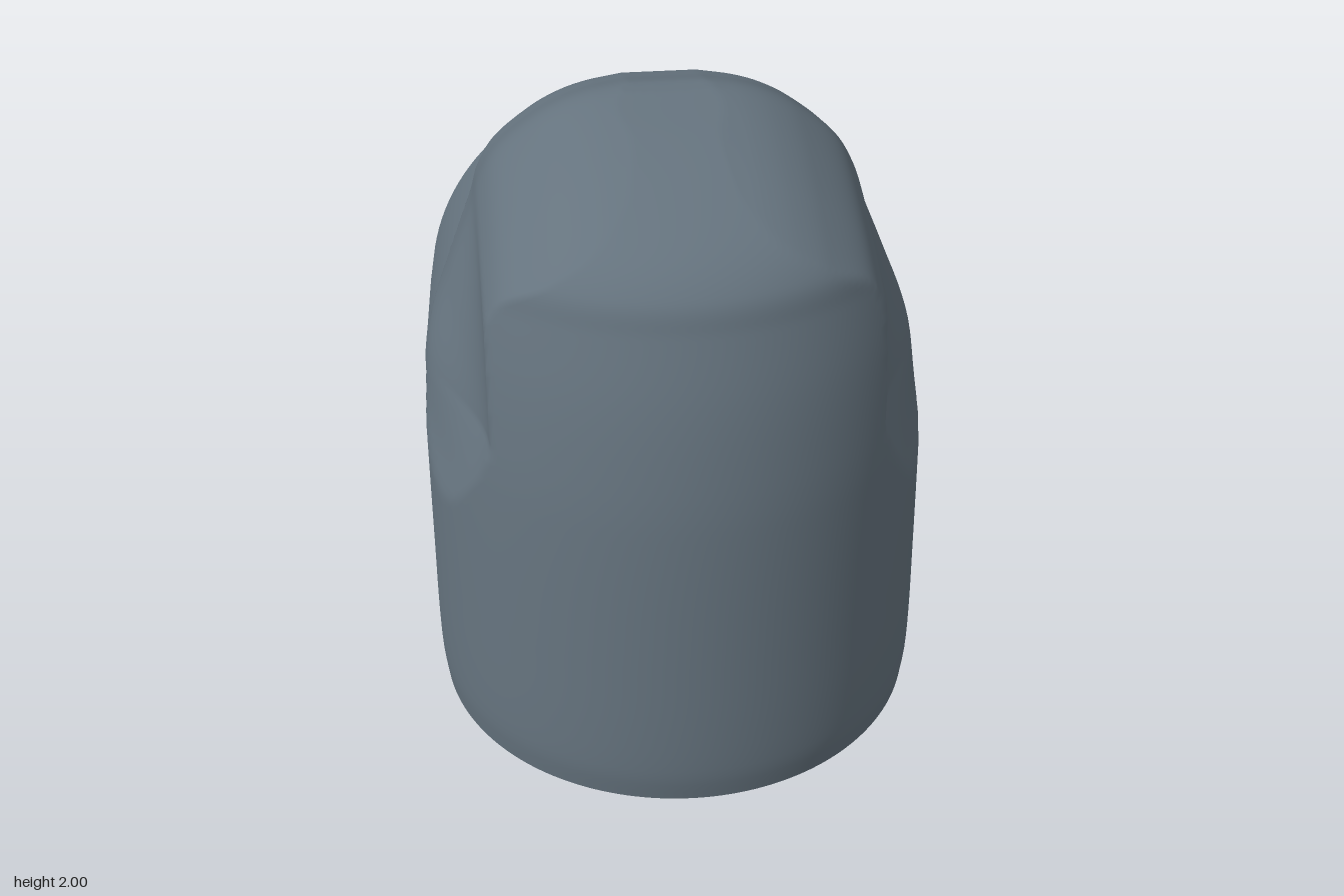
import * as THREE from 'three';

// Smooth curve through [x, value] pairs, clamped at both ends
function curve(pts) {
  const n = pts.length;
  const slope = (i) => {
    const a = pts[Math.max(0, i - 1)], b = pts[Math.min(n - 1, i + 1)];
    return (b[1] - a[1]) / (b[0] - a[0]);
  };
  return (x) => {
    if (x <= pts[0][0]) return pts[0][1];
    if (x >= pts[n - 1][0]) return pts[n - 1][1];
    let i = 0;
    while (x > pts[i + 1][0]) i++;
    const d = pts[i + 1][0] - pts[i][0], t = (x - pts[i][0]) / d;
    const t2 = t * t, t3 = t2 * t;
    return (2 * t3 - 3 * t2 + 1) * pts[i][1] + (t3 - 2 * t2 + t) * d * slope(i)
      + (3 * t2 - 2 * t3) * pts[i + 1][1] + (t3 - t2) * d * slope(i + 1);
  };
}

const CZ = 0.085; // axis of the upright body
const radius = curve([[0, 0.785], [0.1, 0.796], [0.25, 0.8], [0.5, 0.8]]);
// Front profile: z by height
const frontZ = curve([[0, 0.885], [0.1, 0.885], [0.6, 0.86], [1, 0.83], [1.2, 0.8], [1.4, 0.755],
  [1.6, 0.69], [1.7, 0.65], [1.8, 0.535], [1.9, 0.32], [1.96, 0.12], [2, -0.1]]);
// Hood half-width by height
const hoodWidth = curve([[0.6, 0.92], [0.8, 0.86], [1, 0.805], [1.2, 0.775], [1.4, 0.7], [1.6, 0.62],
  [1.7, 0.59], [1.8, 0.53], [1.9, 0.41], [1.95, 0.32], [1.98, 0.23], [2, 0.12]]);
// Ridge height by z
const ridge = curve([[-0.75, 1.74], [-0.58, 1.83], [-0.42, 1.92], [-0.3, 1.96], [-0.17, 2], [-0.08, 2],
  [0.12, 1.96], [0.32, 1.9], [0.54, 1.8], [0.65, 1.7]]);

function inside(x, y, z) {
  x = Math.abs(x);
  const r = radius(y);
  if (x >= r || y > 2) return false;
  const arc = Math.sqrt(r * r - x * x);
  if (z < CZ - arc) return false;                    // round back
  const shift = frontZ(y) - 0.885;
  if (z > CZ + shift + arc) return false;            // leaning round front
  const top = ridge(z);
  if (z < 0 && y > top) return false;                // sloping rear of the roof
  const w = hoodWidth(y + Math.min(2 - top, 0.25));
  const s = THREE.MathUtils.smoothstep(CZ + shift + 0.53 - z, 0, 0.6);
  const start = Math.min(w, 0.6 + 0.35 * Math.max(0, 1.15 - y));
  return x < start + (w - start) * s;                // scooped sides
}

// Body skin: rows of rays, level up the trunk, then fanned over the dome
function bodyGeometry() {
  const cols = 192, trunk = 36, dome = 90, Y0 = 1.1;
  const pos = [], idx = [];
  for (let j = 0; j <= trunk + dome; j++) {
    const oy = Y0 * Math.min(1, j / trunk);
    const e = Math.max(0, j - trunk) / dome * Math.PI / 2;
    for (let i = 0; i < cols; i++) {
      const a = i / cols * Math.PI * 2;
      const dx = Math.sin(a) * Math.cos(e), dy = Math.sin(e), dz = Math.cos(a) * Math.cos(e);
      let lo = 0, hi = 1.5;
      for (let k = 0; k < 24; k++) {
        const m = (lo + hi) / 2;
        if (inside(dx * m, oy + dy * m, CZ + dz * m)) lo = m; else hi = m;
      }
      pos.push(dx * lo, oy + dy * lo, CZ + dz * lo);
      if (j < trunk + dome) {
        const p = j * cols + i, q = j * cols + (i + 1) % cols;
        idx.push(p, q, q + cols, p, q + cols, p + cols);
      }
    }
  }
  const g = new THREE.BufferGeometry();
  g.setAttribute('position', new THREE.Float32BufferAttribute(pos, 3));
  g.setIndex(idx);
  g.computeVertexNormals();
  return g;
}

export function createModel() {
  const group = new THREE.Group();
  const slate = new THREE.MeshStandardMaterial({ color: 0x65737e });
  slate.name = 'slate grey';
  const add = (name, geometry, parent = group) => {
    const mesh = new THREE.Mesh(geometry, slate);
    mesh.name = name;
    parent.add(mesh);
    return mesh;
  };

  add('hoodedBody', bodyGeometry());
  const base = add('baseFace', new THREE.CircleGeometry(0.785, 96));
  base.rotation.x = Math.PI / 2;
  base.position.z = CZ;

  // Round branch leaving the back, with a rounded shoulder at its front
  const branch = new THREE.Group();
  branch.name = 'rearBranch';
  branch.position.y = 0.918;
  group.add(branch);
  const profile = [[0.7, 0.12], [0.735, 0.205], [0.76, 0.225], [0.788, 0.26], [0.798, 0.285], [0.8, 0.31],
    [0.795, 0.4], [0.782, 0.7], [0.77, 0.88]].map(([r, d]) => new THREE.Vector2(r, d));
  add('branchWall', new THREE.LatheGeometry(profile, 128), branch).rotation.x = -Math.PI / 2;
  const cap = add('branchFace', new THREE.CircleGeometry(0.77, 128), branch);
  cap.rotation.y = Math.PI;
  cap.position.z = -0.88;

  return group;
}
